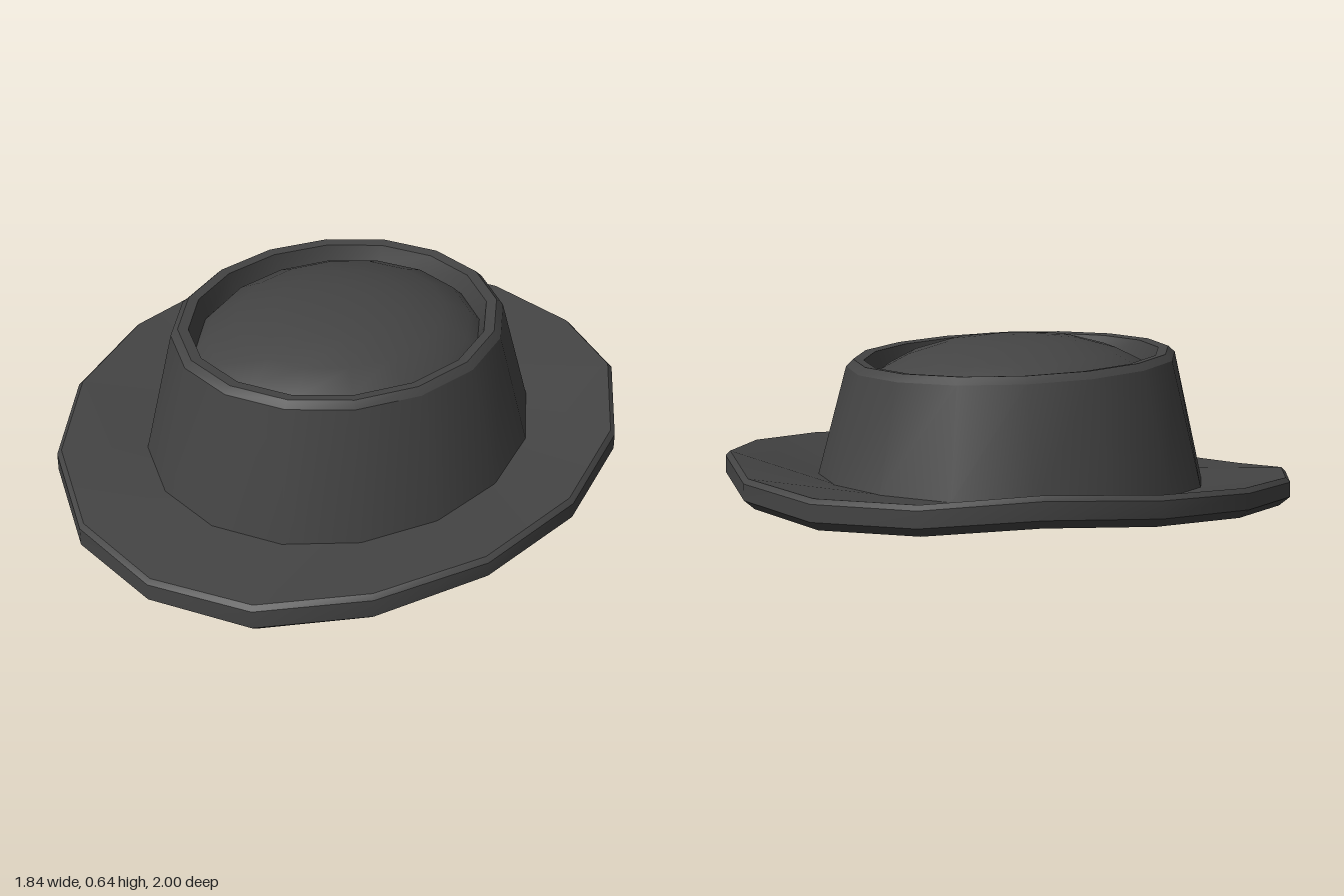
import * as THREE from 'three';
import { mergeGeometries, mergeVertices } from 'three/addons/utils/BufferGeometryUtils.js';

const SIDES = 16;

// Surface through oval rings { rx, rz, y(c, j) }, where c is 1 at the front and -1 at the back.
// Rings run from the underside, outward and up; j counts 0..8 from front to back on both sides.
function loft(rings) {
  const pos = [], index = [];
  rings.forEach(({ rx, rz, y }, i) => {
    for (let j = 0; j < SIDES; j++) {
      const a = (j / SIDES) * Math.PI * 2;
      const c = Math.cos(a);
      pos.push(rx * Math.sin(a), y(c, Math.min(j, SIDES - j)), rz * c);
      if (i === 0) continue;
      const k = (j + 1) % SIDES;
      const low = (i - 1) * SIDES, high = i * SIDES;
      if (rings[i - 1].rx > 0) index.push(low + j, low + k, high + k);
      if (rx > 0) index.push(low + j, high + k, high + j);
      else if (rings[i - 1].rx > 0) index[index.length - 1] = high + j;
    }
  });
  const geometry = new THREE.BufferGeometry();
  geometry.setAttribute('position', new THREE.Float32BufferAttribute(pos, 3));
  geometry.setIndex(index);
  const merged = mergeVertices(geometry);
  merged.computeVertexNormals();
  return merged;
}

// Separate smooth bands, with a hard edge at every ring
function banded(rings) {
  return mergeGeometries(rings.slice(1).map((ring, i) => loft([rings[i], ring])));
}

const ring = (rx, rz, y) => ({ rx, rz, y });
const tilt = (mid, slope) => (c) => mid + slope * c;

export function createModel() {
  const hat = new THREE.Group();
  hat.name = 'hat';
  const felt = new THREE.MeshStandardMaterial({ color: 0x444444 });
  felt.name = 'charcoal felt';

  const add = (name, geometry) => {
    const mesh = new THREE.Mesh(geometry, felt);
    mesh.name = name;
    hat.add(mesh);
  };

  // Brim: edge heights from front to back, dipping at both ends
  const edgeTop = [0.105, 0.118, 0.165, 0.197, 0.227, 0.255, 0.28, 0.25, 0.24];
  const edgeBottom = [0.003, 0.01, 0.058, 0.103, 0.13, 0.155, 0.178, 0.152, 0.14];
  const top = (drop) => (c, j) => edgeTop[j] - drop;
  const bottom = (lift) => (c, j) => edgeBottom[j] + lift;
  add('brim', banded([
    ring(0, 0, () => 0.085),
    ring(0.885, 0.965, bottom(0)),
    ring(0.92, 1, bottom(0.03)),
    ring(0.92, 1, top(0.015)),
    ring(0.905, 0.985, top(0)),
    ring(0.62, 0.67, tilt(0.165, -0.037)),
  ]));

  // Crown wall, rolled lip and the wall of the sunken top
  add('crown', banded([
    ring(0.63, 0.685, tilt(0.165, -0.037)),
    ring(0.525, 0.597, tilt(0.564, 0.016)),
    ring(0.503, 0.572, tilt(0.586, 0.014)),
    ring(0.47, 0.535, tilt(0.582, 0.014)),
    ring(0.45, 0.51, tilt(0.51, 0.008)),
  ]));

  // Low dome inside the crown
  const dome = [[1, 0.505], [0.92, 0.545], [0.73, 0.592], [0.46, 0.629], [0.22, 0.641], [0, 0.645]];
  add('crownDome', loft(dome.map(([f, y]) => ring(0.455 * f, 0.515 * f, tilt(y, 0.006 * f)))));

  return hat;
}
